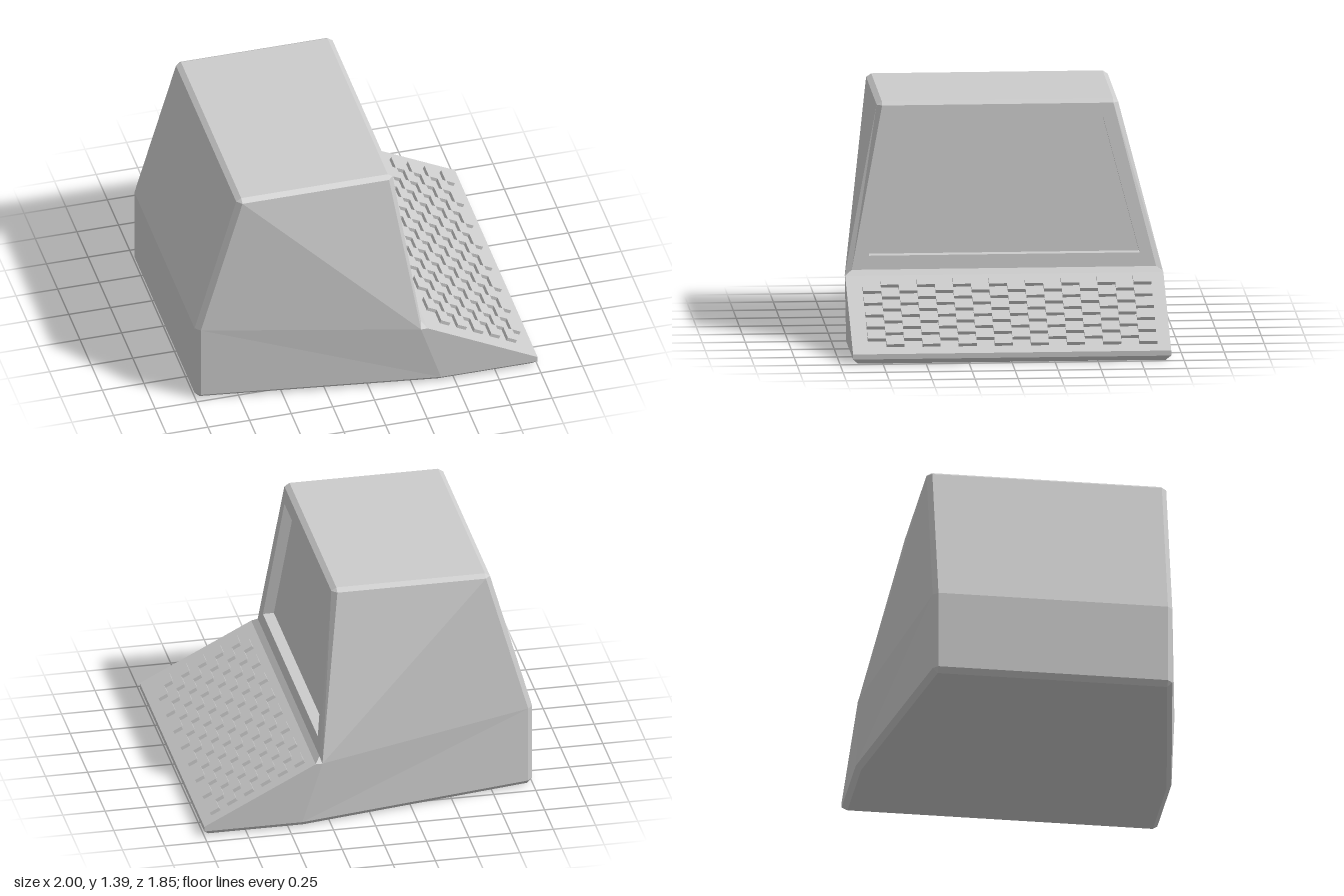
import * as THREE from 'three';

const material = new THREE.MeshStandardMaterial({ color: 0xcccccc, flatShading: true });

// Collects flat polygons (corners counter-clockwise from outside) into one mesh
function polygonMesh(name, polygons) {
  const pos = [];
  const tri = new THREE.Triangle();
  for (const p of polygons) {
    for (let i = 1; i < p.length - 1; i++) {
      tri.set(p[0], p[i], p[i + 1]);
      if (tri.getArea() < 1e-7) continue;
      for (const v of [p[0], p[i], p[i + 1]]) pos.push(v.x, v.y, v.z);
    }
  }
  const geo = new THREE.BufferGeometry();
  geo.setAttribute('position', new THREE.Float32BufferAttribute(pos, 3));
  geo.computeVertexNormals();
  const mesh = new THREE.Mesh(geo, material);
  mesh.name = name;
  return mesh;
}

const v = (x, y, z) => new THREE.Vector3(x, y, z);

// Side panel corners for one side; the rear is narrower than the front
function sidePoints(s) {
  const back = s > 0 ? 0.73 : 0.675, wide = 0.925;
  const at = (x, y, z) => v(x, y, s * z);
  return {
    A: at(-0.97, 0.03, back), B: at(-0.97, 0.5, back),
    C: at(-0.72, 1.375, back), D: at(0.16, 1.375, back),
    E: at(0.3, 0.4, wide), K: at(0.34, 0.4, wide),
    F: at(1, 0.06, wide), G: at(1, 0.03, wide), H: at(0.42, 0.03, wide),
  };
}

// Centre profile: x, y, inward step from the side panel, matching side corner
const profile = [
  [-0.97, 0, 0.03, 'A'], [-1, 0.03, 0.03, 'A'], [-1, 0.5, 0.03, 'B'],
  [-0.75, 1.375, 0.03, 'C'], [-0.72, 1.395, 0.03, 'C'],
  [0.16, 1.395, 0.03, 'D'], [0.19, 1.375, 0.03, 'D'],
  [0.31, 0.43, 0.04, 'E'], [0.34, 0.4, 0, 'K'],
  [1, 0.06, 0, 'F'], [1, 0.03, 0, 'G'], [0.97, 0, 0.03, 'G'], [0.41, 0, 0.03, 'H'],
];
const BEZEL = 6; // profile segment that carries the screen opening

function buildCasing(group) {
  const polys = [];
  const edges = {};
  const n = profile.length;
  for (const s of [1, -1]) {
    const S = sidePoints(s);
    const add = (p) => polys.push(s > 0 ? p : p.reverse());
    const edge = profile.map(([x, y, inset, k]) => v(x, y, S[k].z - s * inset));
    edges[s] = edge;
    // Faceted side panel
    for (const t of ['BAH', 'BHE', 'CBE', 'CED', 'HGF', 'HFK', 'HKE']) {
      add([...t].map((k) => S[k]));
    }
    // Chamfers between side panel and profile strip
    for (let i = 0; i < n; i++) {
      const j = (i + 1) % n;
      add([S[profile[i][3]], S[profile[j][3]], edge[j], edge[i]]);
    }
  }

  // Back, top, keyboard deck, front lip and underside
  const L = edges[1], R = edges[-1];
  const underside = [];
  for (let i = 0; i < n - 2; i++) {
    const j = i + 1;
    if (i !== BEZEL) polys.push([L[i], L[j], R[j], R[i]]);
  }
  underside.push(L[11], L[12], L[0], R[0], R[12], R[11]);
  polys.push(underside);

  // Bezel ring and recess walls around the screen
  const onBezel = (y, z) => v(0.19 + 0.12 * (1.375 - y) / 0.945, y, z);
  const outer = [L[BEZEL], L[BEZEL + 1], R[BEZEL + 1], R[BEZEL]];
  const rim = [onBezel(1.29, 0.645), onBezel(0.51, 0.785), onBezel(0.51, -0.79), onBezel(1.29, -0.585)];
  const deep = rim.map((p) => v(p.x - 0.065, p.y, p.z));
  for (let i = 0; i < 4; i++) {
    const j = (i + 1) % 4;
    polys.push([outer[i], outer[j], rim[j], rim[i]]);
    polys.push([rim[i], rim[j], deep[j], deep[i]]);
  }
  group.add(polygonMesh('casing', polys), polygonMesh('screen', [deep]));
}

// Staggered columns of low keys on the sloping deck
function buildKeyboard() {
  const keyboard = new THREE.Group();
  keyboard.name = 'keyboard';
  const slope = Math.atan2(0.34, 0.66);
  const columns = 16, width = 0.105, pitch = 0.1, length = 0.055;
  const geo = new THREE.BoxGeometry(length / Math.cos(slope), 0.03, width);
  for (let c = 0; c < columns; c++) {
    const odd = c % 2;
    for (let r = 0; r < 6 - odd; r++) {
      const x = 0.39 + length / 2 + (r + odd / 2) * pitch;
      const deckY = 0.4 - (x - 0.34) * Math.tan(slope);
      const key = new THREE.Mesh(geo, material);
      key.name = 'key';
      key.position.set(x, deckY + 0.007, -0.848 + (c + 0.5) * width);
      key.rotation.z = -slope;
      keyboard.add(key);
    }
  }
  return keyboard;
}

export function createModel() {
  const group = new THREE.Group();
  group.name = 'computerTerminal';
  buildCasing(group);
  group.add(buildKeyboard());
  return group;
}
